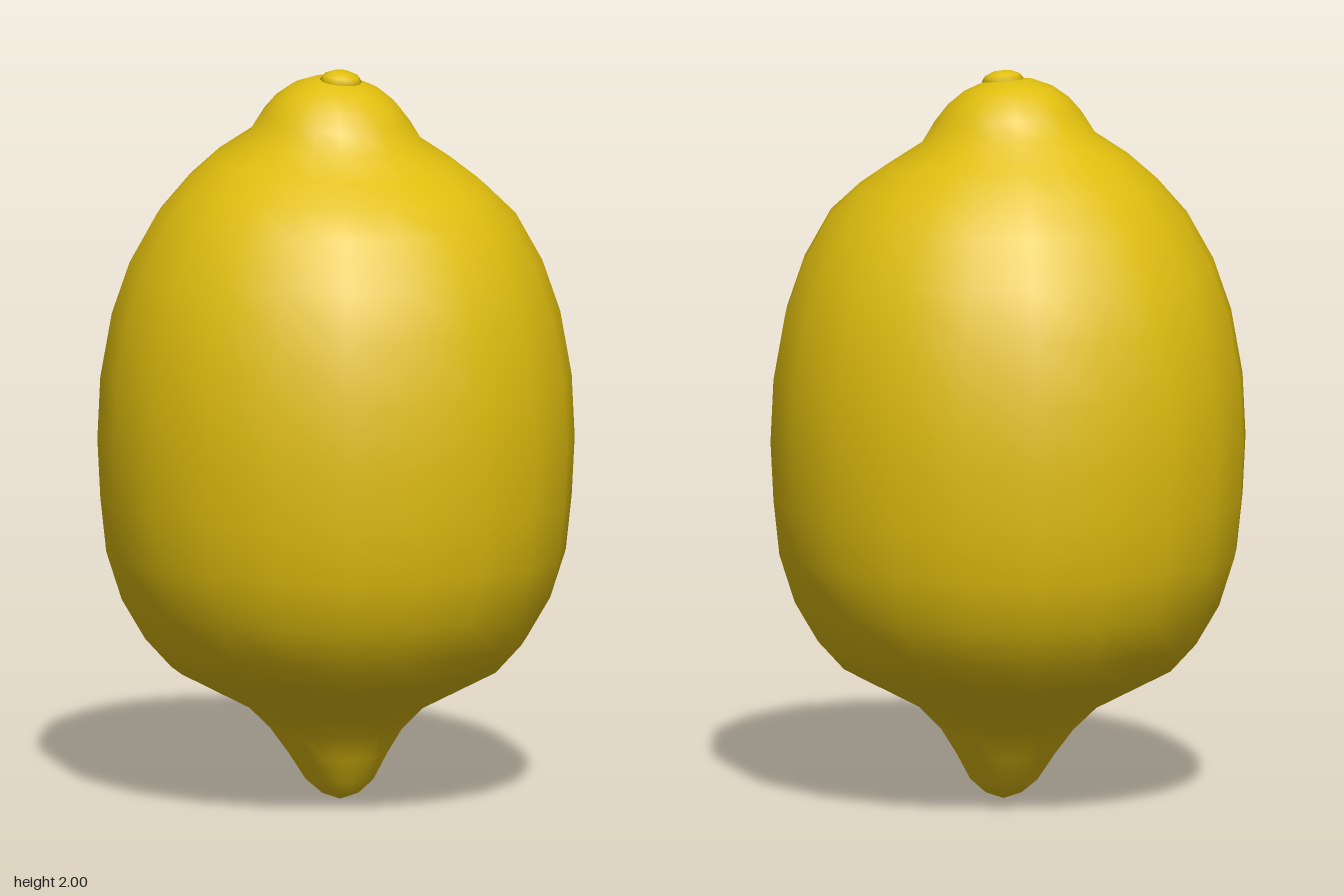
import * as THREE from 'three';
import { mergeVertices } from 'three/addons/utils/BufferGeometryUtils.js';

const lemonYellow = new THREE.MeshStandardMaterial({ color: 0xe0be0e });
lemonYellow.name = 'lemon yellow';

// Turns a [radius, height] profile, bends it by a rule and smooths it without a seam
function turned(name, profile, sides, bend) {
  let geo = new THREE.LatheGeometry(profile.map(([r, y]) => new THREE.Vector2(r, y)), sides);
  geo.deleteAttribute('normal');
  geo.deleteAttribute('uv');
  const pos = geo.attributes.position;
  const v = new THREE.Vector3();
  for (let i = 0; i < pos.count; i++) {
    bend(v.fromBufferAttribute(pos, i));
    pos.setXYZ(i, v.x, v.y, v.z);
  }
  geo = mergeVertices(geo, 1e-4);
  geo.computeVertexNormals();
  const mesh = new THREE.Mesh(geo, lemonYellow);
  mesh.name = name;
  return mesh;
}

export function createModel() {
  const group = new THREE.Group();
  group.name = 'lemon';

  // Fruit: pointed tip, swollen middle and a rounded neck, all one skin
  const skin = [
    [0, 0], [0.05, 0.018], [0.092, 0.055], [0.133, 0.125], [0.18, 0.195], [0.242, 0.257],
    [0.445, 0.363], [0.515, 0.44], [0.578, 0.548], [0.62, 0.68], [0.636, 0.83], [0.644, 0.99],
    [0.636, 1.16], [0.605, 1.335], [0.557, 1.475], [0.485, 1.605], [0.405, 1.69],
    [0.325, 1.755], [0.235, 1.815], [0.2, 1.872], [0.165, 1.915], [0.12, 1.95],
    [0.065, 1.973], [0, 1.975],
  ];
  group.add(turned('fruit', skin, 20, (v) => {
    v.z *= 1.02;
    // The neck leans down toward the front; the tip sits slightly forward
    v.y -= 0.1 * v.z * THREE.MathUtils.smoothstep(v.y, 1.6, 1.85);
    v.z += 0.018 * (1 - THREE.MathUtils.smoothstep(v.y, 0, 0.25));
  }));

  // Stem scar: a small low button on the neck
  const button = [[0.05, -0.02], [0.057, 0.002], [0.048, 0.016], [0.025, 0.026], [0, 0.028]];
  const scar = turned('stemScar', button, 14, (v) => v);
  scar.position.set(0.005, 1.971, 0.015);
  scar.rotation.x = 0.12;
  group.add(scar);

  return group;
}
